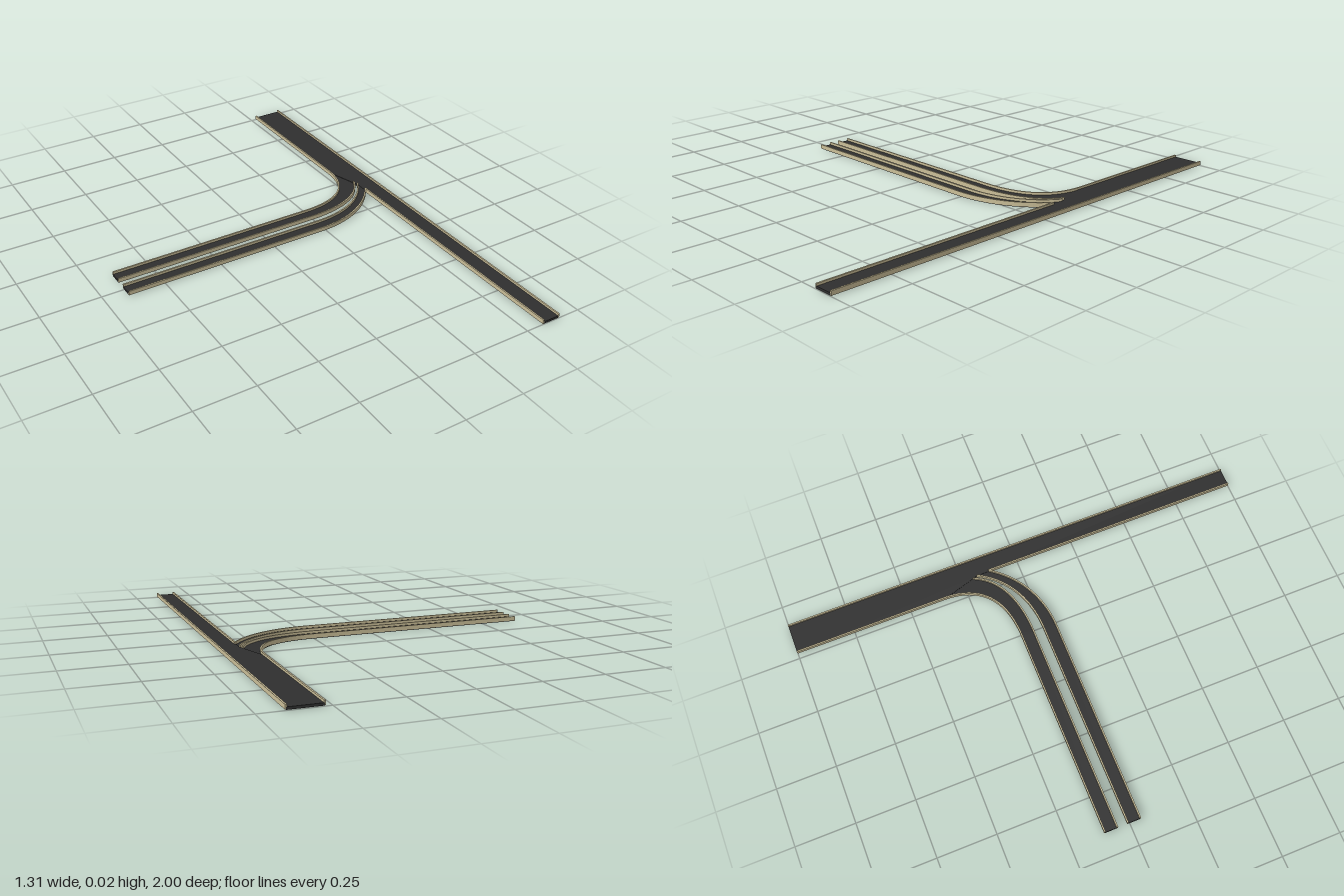
import * as THREE from 'three';

const P = (x, z) => new THREE.Vector2(x, z);

// Extrude a plan outline (x, z) between two heights
function plate(points, y0, y1, material, name) {
  const geo = new THREE.ExtrudeGeometry(new THREE.Shape(points), {
    depth: y1 - y0, bevelEnabled: false, steps: 1,
  });
  geo.rotateX(Math.PI / 2).translate(0, y1, 0);
  const mesh = new THREE.Mesh(geo, material);
  mesh.name = name;
  return mesh;
}

// Thin wall of constant thickness that follows a plan path
function wall(path, y0, y1, material, name) {
  const half = 0.0032, left = [], right = [];
  path.forEach((p, i) => {
    const a = path[Math.max(i - 1, 0)], b = path[Math.min(i + 1, path.length - 1)];
    const d = b.clone().sub(a).normalize();
    left.push(P(p.x - d.y * half, p.y + d.x * half));
    right.push(P(p.x + d.y * half, p.y - d.x * half));
  });
  return plate([...left, ...right.reverse()], y0, y1, material, name);
}

// Straight run from the far end, then a bend towards the main road
function rampEdge(z, c1, c2, end) {
  const bend = new THREE.CubicBezierCurve(P(0.24, z), c1, c2, end);
  return [P(-0.655, z), ...bend.getPoints(20)];
}

export function createModel() {
  const group = new THREE.Group();
  const asphalt = new THREE.MeshStandardMaterial({ color: 0x2f2f2f });
  asphalt.name = 'asphalt';
  const underside = new THREE.MeshStandardMaterial({ color: 0x949494 });
  underside.name = 'underside grey';
  const barrier = new THREE.MeshStandardMaterial({ color: 0xcabe98 });
  barrier.name = 'barrier beige';

  // Road deck: asphalt body with a thin grey soffit
  function deck(outline, bottom, top, name) {
    const part = new THREE.Group();
    part.name = name;
    part.add(plate(outline, bottom, bottom + 0.001, [underside, asphalt], name + 'Soffit'));
    part.add(plate(outline, bottom + 0.001, top, asphalt, name + 'Surface'));
    group.add(part);
  }

  const merge = P(0.526, -0.34), join = P(0.577, -0.13);
  const farGore = P(0.567, -0.205), nearGore = P(0.574, -0.185);

  // Main road, wider beyond the merge
  deck([P(0.526, -1), P(0.652, -1), P(0.652, 1), P(0.577, 1), nearGore, farGore, merge],
    0.002, 0.0115, 'mainRoad');

  // Two slip ramps
  const farOuter = rampEdge(-0.106, P(0.39, -0.106), P(0.52, -0.16), merge);
  const farInner = rampEdge(-0.053, P(0.4, -0.053), P(0.52, -0.1), farGore);
  const nearInner = rampEdge(-0.008, P(0.39, -0.008), P(0.51, -0.07), nearGore);
  const nearOuter = rampEdge(0.045, P(0.38, 0.042), P(0.5, -0.02), join);
  deck([...farOuter, ...farInner.slice().reverse()], 0, 0.01, 'farRamp');
  deck([...nearInner, ...nearOuter.slice().reverse()], 0, 0.01, 'nearRamp');

  // Barriers along every road edge
  const barriers = {
    mainRightBarrier: [P(0.652, -1), P(0.652, 1)],
    mainLeftBarrier: [join, P(0.577, 1)],
    farOuterBarrier: [...farOuter, P(0.526, -1)],
    farInnerBarrier: farInner,
    nearInnerBarrier: nearInner,
    nearOuterBarrier: nearOuter,
  };
  for (const [name, path] of Object.entries(barriers)) {
    group.add(wall(path, 0.003, 0.02, barrier, name));
  }
  return group;
}
